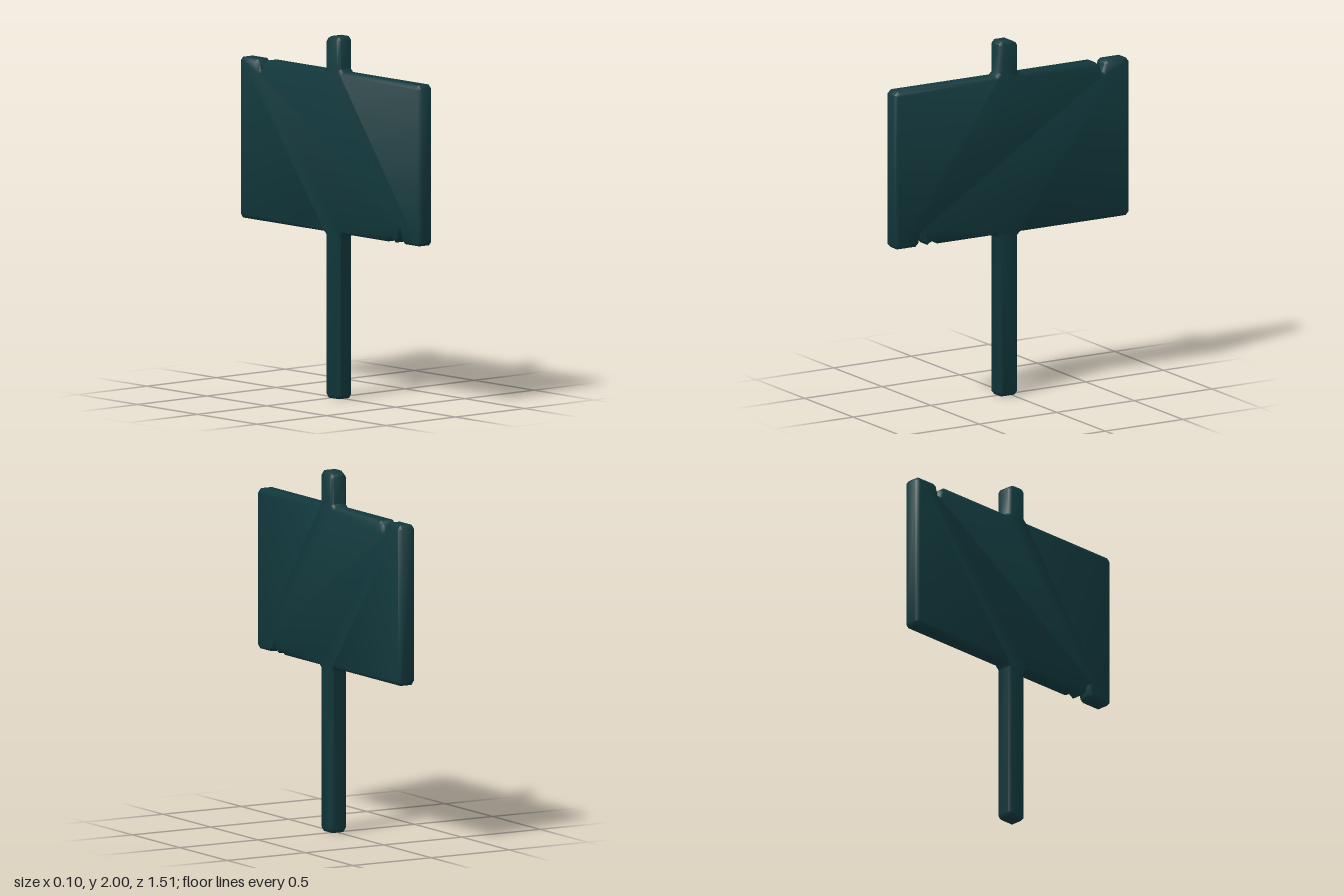
import * as THREE from 'three';
import { toCreasedNormals } from 'three/addons/utils/BufferGeometryUtils.js';

const THICKNESS = 0.1;
const BEVEL = 0.015;

// Side outline of post and board in one piece, counter-clockwise: [-z, y]
const OUTLINE = [
  // post foot
  [-0.085, 0.02], [-0.068, 0], [0.018, 0], [0.035, 0.02],
  // board, lower back edge
  [0.035, 0.898], [0.055, 0.917], [0.735, 0.917], [0.752, 0.935],
  // upper back corner and crack
  [0.752, 1.785], [0.735, 1.805], [0.613, 1.805], [0.597, 1.79],
  [0.585, 1.745], [0.575, 1.745], [0.566, 1.785], [0.55, 1.79], [0.535, 1.805],
  // post head
  [0.053, 1.805], [0.035, 1.823], [0.035, 1.968], [0.024, 1.985], [-0.005, 2],
  [-0.068, 2], [-0.085, 1.982], [-0.085, 1.823], [-0.103, 1.805],
  // upper and lower front corners
  [-0.735, 1.805], [-0.755, 1.785], [-0.755, 0.935], [-0.738, 0.917],
  // splintered crack
  [-0.62, 0.917], [-0.602, 0.935], [-0.59, 0.992], [-0.583, 0.992],
  [-0.567, 0.94], [-0.543, 0.917], [-0.515, 0.936], [-0.48, 0.917],
  // back to the post
  [-0.105, 0.917], [-0.085, 0.898],
];

export function createModel() {
  const group = new THREE.Group();
  group.name = 'signpost';

  const shape = new THREE.Shape(OUTLINE.map(([u, y]) => new THREE.Vector2(u, y)));
  const geometry = new THREE.ExtrudeGeometry(shape, {
    depth: THICKNESS - 2 * BEVEL,
    bevelEnabled: true,
    bevelThickness: BEVEL,
    bevelSize: BEVEL,
    bevelOffset: -BEVEL, // keep the outline as the outer silhouette
    bevelSegments: 1,
  });
  geometry.translate(0, 0, BEVEL - THICKNESS / 2);
  geometry.rotateY(Math.PI / 2); // thickness runs along x

  const material = new THREE.MeshStandardMaterial({ color: 0x12393d });
  const sign = new THREE.Mesh(toCreasedNormals(geometry, 0.9), material);
  sign.name = 'postAndBoard';
  group.add(sign);
  return group;
}
